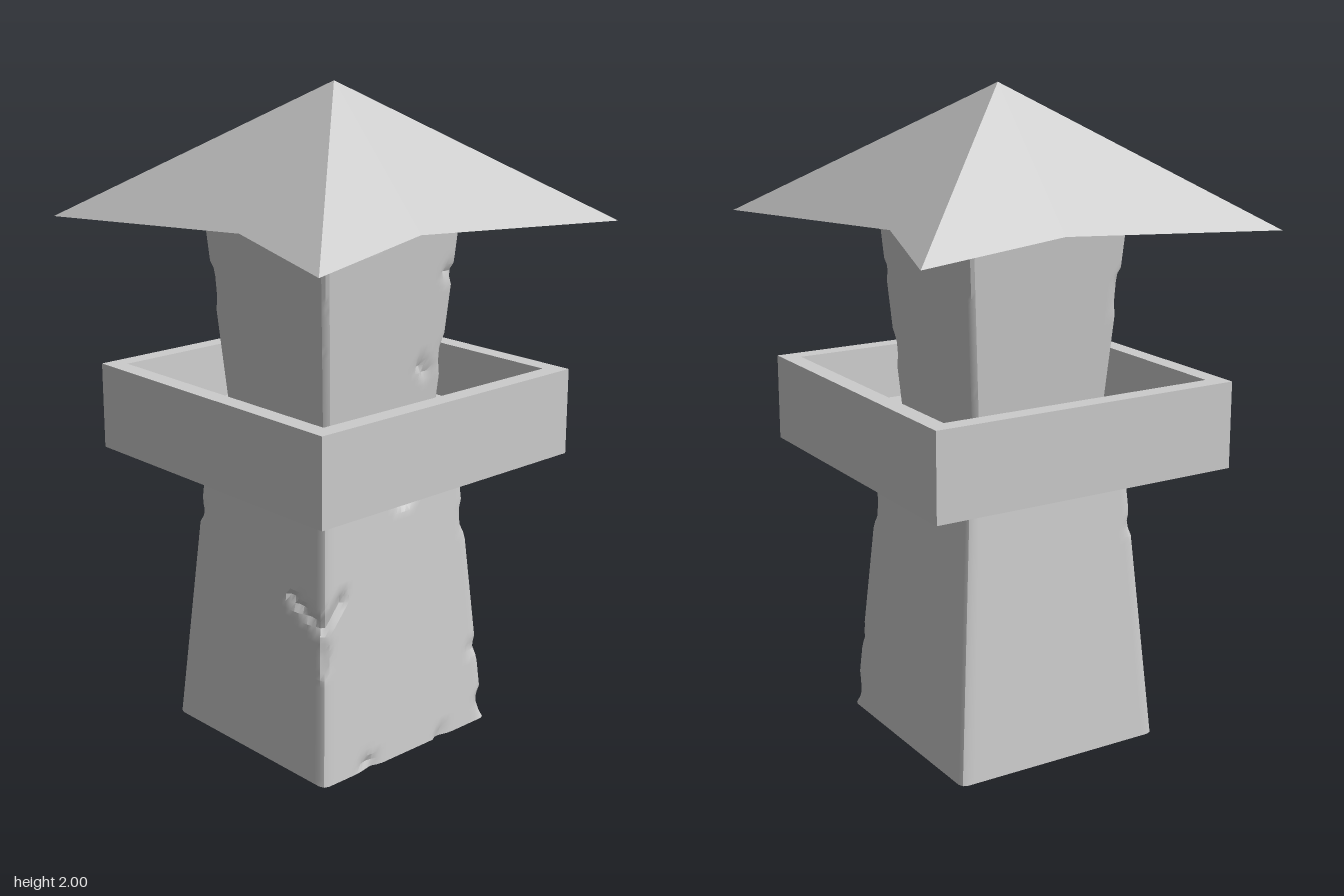
import * as THREE from 'three';
import { mergeVertices, toCreasedNormals } from 'three/addons/utils/BufferGeometryUtils.js';

const material = new THREE.MeshStandardMaterial({ color: 0xcccccc });
const V = (x, y, z) => new THREE.Vector3(x, y, z);

function addMesh(group, name, geometry) {
  const mesh = new THREE.Mesh(geometry, material);
  mesh.name = name;
  group.add(mesh);
  return mesh;
}

// Tapered square stone shaft with worn edges; each chip is a groove [from, to, radius, depth]
function shaft(y0, y1, half0, half1, rows, chips) {
  const n = 32, wear = 0.006;
  let geo = new THREE.BoxGeometry(2, 1, 2, n, rows, n);
  geo.deleteAttribute('normal');
  geo.deleteAttribute('uv');
  geo = mergeVertices(geo);
  const pos = geo.attributes.position;
  const p = V(0, 0, 0), near = V(0, 0, 0), line = new THREE.Line3();
  for (let i = 0; i < pos.count; i++) {
    p.fromBufferAttribute(pos, i);
    const t = p.y + 0.5;
    const half = THREE.MathUtils.lerp(half0, half1, t);
    const onEdge = Math.abs(p.x) > 0.999 && Math.abs(p.z) > 0.999;
    const scale = half - (onEdge ? wear : 0);
    p.set(p.x * scale, THREE.MathUtils.lerp(y0, y1, t), p.z * scale);
    let push = 0;
    for (const [a, b, radius, depth] of chips) {
      line.set(a, b).closestPointToPoint(p, true, near);
      push = Math.max(push, depth * (1 - near.distanceTo(p) / radius));
    }
    const r = Math.hypot(p.x, p.z);
    if (push > 0 && r > 0.05) {
      p.x *= 1 - push / r;
      p.z *= 1 - push / r;
    }
    pos.setXYZ(i, p.x, p.y, p.z);
  }
  geo.translate(0, 0, 0.01);
  return toCreasedNormals(geo, 0.5);
}

// Square tray turned from a four-sided profile: base, outer wall, rim, inner wall, floor
function tray() {
  const profile = [[0, 0.885], [0.498, 0.885], [0.498, 1.15], [0.443, 1.15], [0.433, 0.98], [0, 0.98]];
  const points = profile.map(([r, y]) => new THREE.Vector2(r * Math.SQRT2, y));
  const geo = new THREE.LatheGeometry(points, 4, Math.PI / 4).toNonIndexed();
  geo.computeVertexNormals();
  return geo;
}

// Four-pointed roof with notched eaves and a flat underside
function roof() {
  const tip = 0.587, notch = 0.36, eave = 1.6, peak = 2;
  const up = V(0, 1, 0), down = V(0, -1, 0);
  const positions = [], normals = [];
  const tri = (corners, normal) => corners.forEach((c) => {
    positions.push(c.x, c.y, c.z);
    normals.push(normal.x, normal.y, normal.z);
  });
  for (let i = 0; i < 4; i++) {
    const turn = (v) => v.applyAxisAngle(up, i * Math.PI / 2);
    const apex = V(0, peak, 0), centre = V(0, eave, 0);
    const a = turn(V(-tip, eave, tip)), b = turn(V(tip, eave, tip));
    const mid = turn(V(0, eave, notch));
    const slope = turn(V(0, notch, peak - eave).normalize());
    tri([apex, a, mid], slope);
    tri([apex, mid, b], slope);
    tri([centre, mid, a], down);
    tri([centre, b, mid], down);
  }
  const geo = new THREE.BufferGeometry();
  geo.setAttribute('position', new THREE.Float32BufferAttribute(positions, 3));
  geo.setAttribute('normal', new THREE.Float32BufferAttribute(normals, 3));
  return geo;
}

export function createModel() {
  const group = new THREE.Group();
  group.name = 'watchtower';

  // Lower shaft: broken wedge under the tray, cracked front corner, small edge chips
  const lowerChips = [
    [V(0.28, 0.82, -0.04), V(0.28, 0.89, -0.11), 0.06, 0.05],
    [V(0.16, 0.535, 0.3), V(0.31, 0.47, 0.3), 0.025, 0.025],
    [V(0.31, 0.47, 0.31), V(0.3, 0.55, 0.24), 0.028, 0.025],
    [V(0.32, 0.36, 0.32), V(0.315, 0.42, 0.31), 0.03, 0.02],
    [V(-0.29, 0.68, 0.29), V(-0.29, 0.69, 0.29), 0.03, 0.015],
    [V(0.29, 0.65, -0.29), V(0.29, 0.7, -0.29), 0.03, 0.015],
    [V(0.33, 0.24, -0.33), V(0.33, 0.25, -0.3), 0.03, 0.018],
    [V(0.34, 0.04, -0.34), V(0.34, 0.07, -0.33), 0.035, 0.02],
    [V(0.345, 0.01, 0.15), V(0.345, 0.02, 0.18), 0.03, 0.018],
    [V(0.345, 0, -0.14), V(0.345, 0.01, -0.15), 0.03, 0.015],
  ];
  addMesh(group, 'lowerShaft', shaft(0, 0.95, 0.346, 0.27, 44, lowerChips));

  // Upper shaft, widening towards the roof
  const upperChips = [
    [V(-0.255, 1.36, 0.255), V(-0.255, 1.44, 0.255), 0.03, 0.015],
    [V(0.26, 1.44, -0.26), V(0.26, 1.45, -0.23), 0.03, 0.018],
    [V(0.24, 1.18, -0.14), V(0.235, 1.15, -0.17), 0.025, 0.015],
    [V(0.24, 1.17, -0.24), V(0.24, 1.22, -0.24), 0.03, 0.015],
    [V(0.27, 1.59, 0.06), V(0.27, 1.59, 0.08), 0.03, 0.015],
  ];
  addMesh(group, 'upperShaft', shaft(0.96, 1.6, 0.221, 0.271, 30, upperChips));

  addMesh(group, 'balcony', tray());
  addMesh(group, 'roof', roof());
  return group;
}
